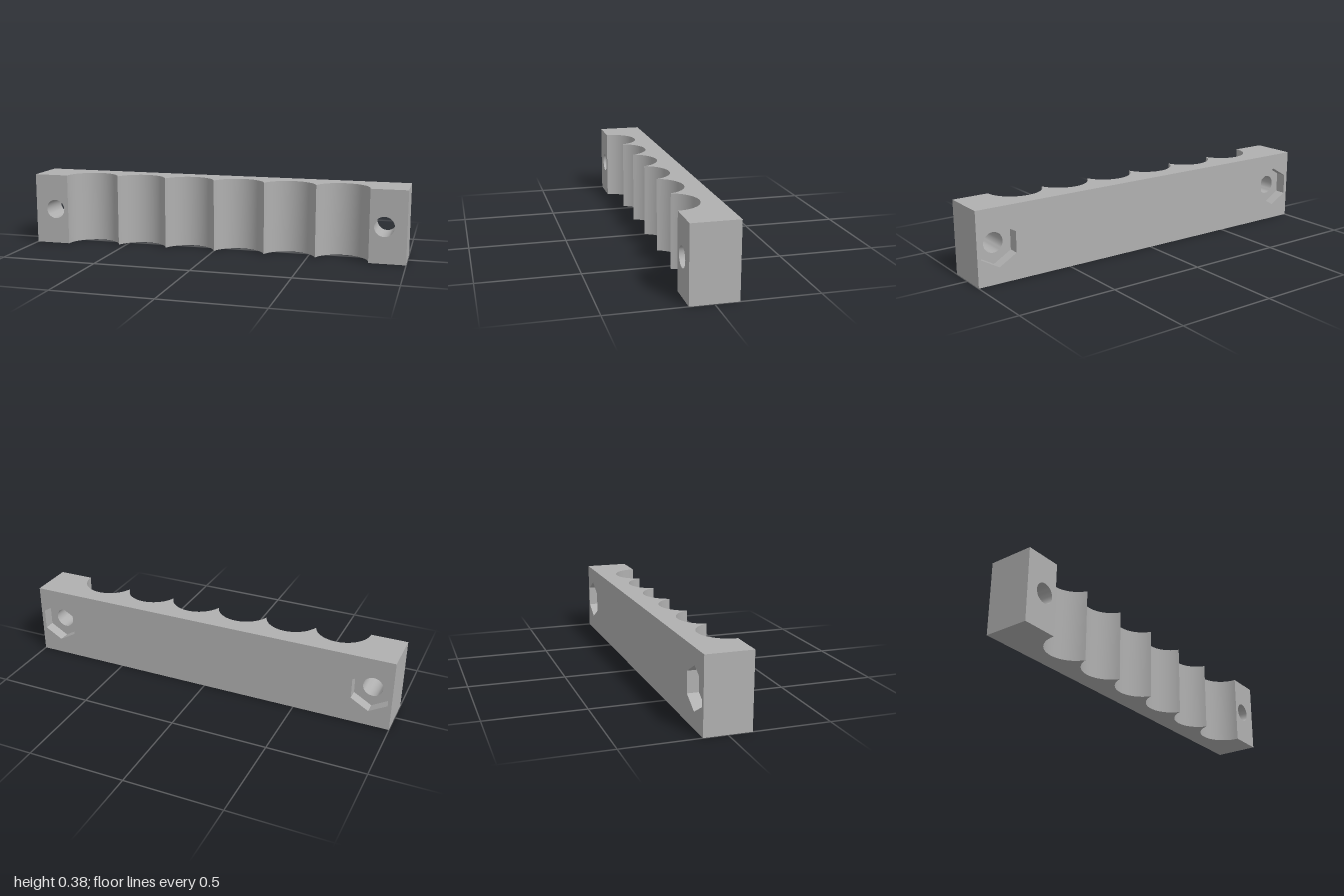
import * as THREE from 'three';
import { toCreasedNormals } from 'three/addons/utils/BufferGeometryUtils.js';

const H = 0.376, F = 0.117;                 // height, half depth
const R = 0.141, PITCH = 0.2692, COUNT = 6; // scallops
const HOLE_X = 0.888, HOLE_R = 0.051, HEX_R = 0.107, POCKET = 0.058;

// Points on an arc in plan (x, z); the wall built on it faces the centre
function arc(cx, cz, r, t0, t1, n) {
  return Array.from({ length: n + 1 }, (_, i) => {
    const t = t0 + (t1 - t0) * i / n;
    return new THREE.Vector2(cx + r * Math.cos(t), cz + r * Math.sin(t));
  });
}

// Upright strip over a line of plan points
function wall(pts, h, crease = 0.5) {
  const pos = [];
  for (let i = 0; i < pts.length - 1; i++) {
    const a = pts[i], b = pts[i + 1];
    pos.push(a.x, 0, a.y, b.x, 0, b.y, b.x, h, b.y);
    pos.push(a.x, 0, a.y, b.x, h, b.y, a.x, h, a.y);
  }
  const g = new THREE.BufferGeometry();
  g.setAttribute('position', new THREE.Float32BufferAttribute(pos, 3));
  return toCreasedNormals(g, crease);
}

// Flat face with holes
function face(outline, holes = []) {
  const s = new THREE.Shape(outline);
  holes.forEach(h => s.holes.push(new THREE.Path(h)));
  return new THREE.ShapeGeometry(s);
}

const rect = (x0, x1) => [[x0, 0], [x1, 0], [x1, H], [x0, H]].map(p => new THREE.Vector2(...p));
const circle = (x, y) => arc(x, y, HOLE_R, 0, Math.PI * 2, 28);
const hex = (x, y) => arc(x, y, HEX_R, Math.PI / 2, Math.PI * 2.5, 6);

export function createModel() {
  const group = new THREE.Group();
  const grey = new THREE.MeshStandardMaterial({ color: 0xb0b0b0 });
  grey.name = 'grey';
  const add = (name, geometry) => {
    const m = new THREE.Mesh(geometry, grey);
    m.name = name;
    group.add(m);
  };

  // Row of scallops along the front, meeting in sharp cusps
  const cut = Math.acos(PITCH / 2 / R);
  const scallops = [];
  for (let i = 0; i < COUNT; i++) {
    const t0 = Math.PI + (i > 0 ? cut : 0);
    const t1 = Math.PI * 2 - (i < COUNT - 1 ? cut : 0);
    const pts = arc((i - (COUNT - 1) / 2) * PITCH, F, R, t0, t1, 24);
    scallops.push(...(i > 0 ? pts.slice(1) : pts));
  }
  add('scallops', wall(scallops, H));

  // Top and bottom
  const plan = [...scallops, ...[[1, F], [1, -F], [-1, -F], [-1, F]].map(p => new THREE.Vector2(...p))];
  add('bottom', face(plan).rotateX(Math.PI / 2));
  add('top', face(plan.map(p => new THREE.Vector2(p.x, -p.y))).rotateX(-Math.PI / 2).translate(0, H, 0));

  // Back with two hexagonal openings
  add('back', face(rect(-1, 1), [hex(-HOLE_X, H / 2), hex(HOLE_X, H / 2)])
    .rotateY(Math.PI).translate(0, 0, -F));

  const edge = (COUNT - 1) / 2 * PITCH + R;
  for (const s of [-1, 1]) {
    const side = s > 0 ? 'left' : 'right';
    const x = s * HOLE_X;
    add(side + 'End', new THREE.PlaneGeometry(2 * F, H).rotateY(s * Math.PI / 2).translate(s, H / 2, 0));
    add(side + 'FrontFace', face(s > 0 ? rect(edge, 1) : rect(-1, -edge), [circle(x, H / 2)]).translate(0, 0, F));
    // Bolt hole opening into a nut pocket
    add(side + 'BoltHole', wall(circle(0, 0), 2 * F - POCKET)
      .rotateX(Math.PI / 2).translate(x, H / 2, -F + POCKET));
    add(side + 'NutPocket', wall(hex(0, 0), POCKET)
      .rotateX(Math.PI / 2).translate(x, H / 2, -F));
    add(side + 'PocketFloor', face(hex(0, 0), [circle(0, 0)])
      .rotateY(Math.PI).translate(x, H / 2, -F + POCKET));
  }
  return group;
}
